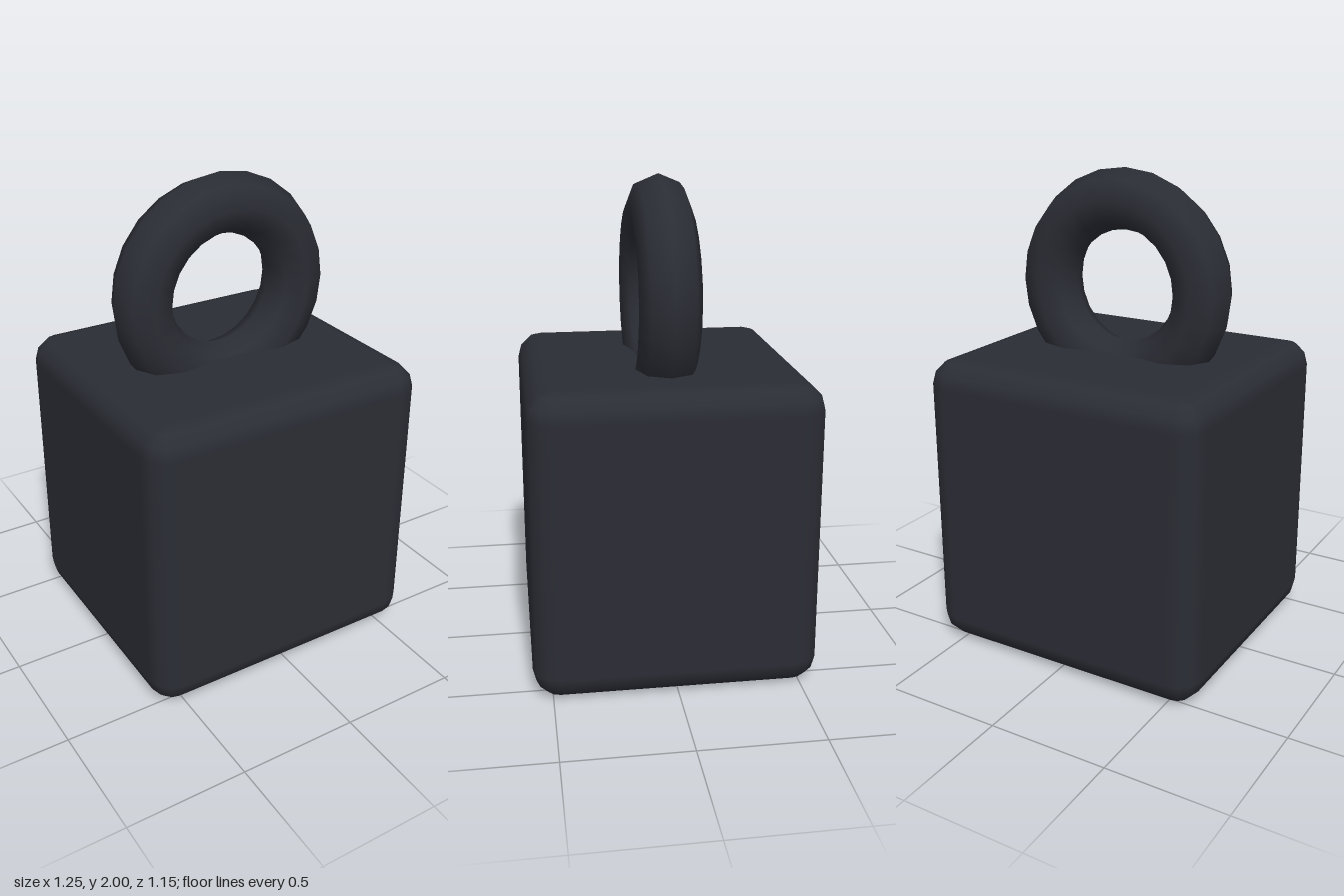
import * as THREE from 'three';

// Rounded block: a sphere's grid is split at the axes and pushed out to the eight corners.
function roundedBlock(width, height, depth, radius, steps = 3) {
  const around = 4 * (steps + 1), rows = 2 * (steps + 1) + 1;
  const geo = new THREE.SphereGeometry(1, around, rows);
  const pos = geo.attributes.position, nor = geo.attributes.normal;
  const signX = [-1, 1, 1, -1], signZ = [1, 1, -1, -1];
  const corner = new THREE.Vector3(width, height, depth).multiplyScalar(0.5).subScalar(radius);
  for (let n = 0; n < pos.count; n++) {
    const i = (n % (around + 1)) % around, row = Math.floor(n / (around + 1));
    const quarter = Math.floor(i / (steps + 1));
    const phi = (quarter + (i % (steps + 1)) / steps) * Math.PI / 2;
    const sy = row <= steps + 1 ? 1 : -1;
    if (row === 0 || row === rows) {
      // centre of the flat top or bottom
      pos.setXYZ(n, 0, sy * height / 2, 0);
      nor.setXYZ(n, 0, sy, 0);
      continue;
    }
    const j = row - 1;
    const theta = (Math.floor(j / (steps + 1)) + (j % (steps + 1)) / steps) * Math.PI / 2;
    const x = -Math.cos(phi) * Math.sin(theta);
    const y = Math.cos(theta);
    const z = Math.sin(phi) * Math.sin(theta);
    pos.setXYZ(n,
      signX[quarter] * corner.x + x * radius,
      sy * corner.y + y * radius,
      signZ[quarter] * corner.z + z * radius);
    nor.setXYZ(n, x, y, z);
  }
  return geo;
}

export function createModel() {
  const group = new THREE.Group();
  group.name = 'ringWeight';
  const material = new THREE.MeshStandardMaterial({ color: 0x2b2d35 });

  // Solid block body
  const body = new THREE.Mesh(roundedBlock(1.245, 1.25, 1.155, 0.107), material);
  body.name = 'body';
  body.position.y = 0.625;

  // Ring handle, its lowest part sunk into the block
  const ring = new THREE.Mesh(new THREE.TorusGeometry(0.355, 0.124, 8, 24), material);
  ring.name = 'ringHandle';
  ring.position.y = 1.521;

  group.add(body, ring);
  return group;
}
